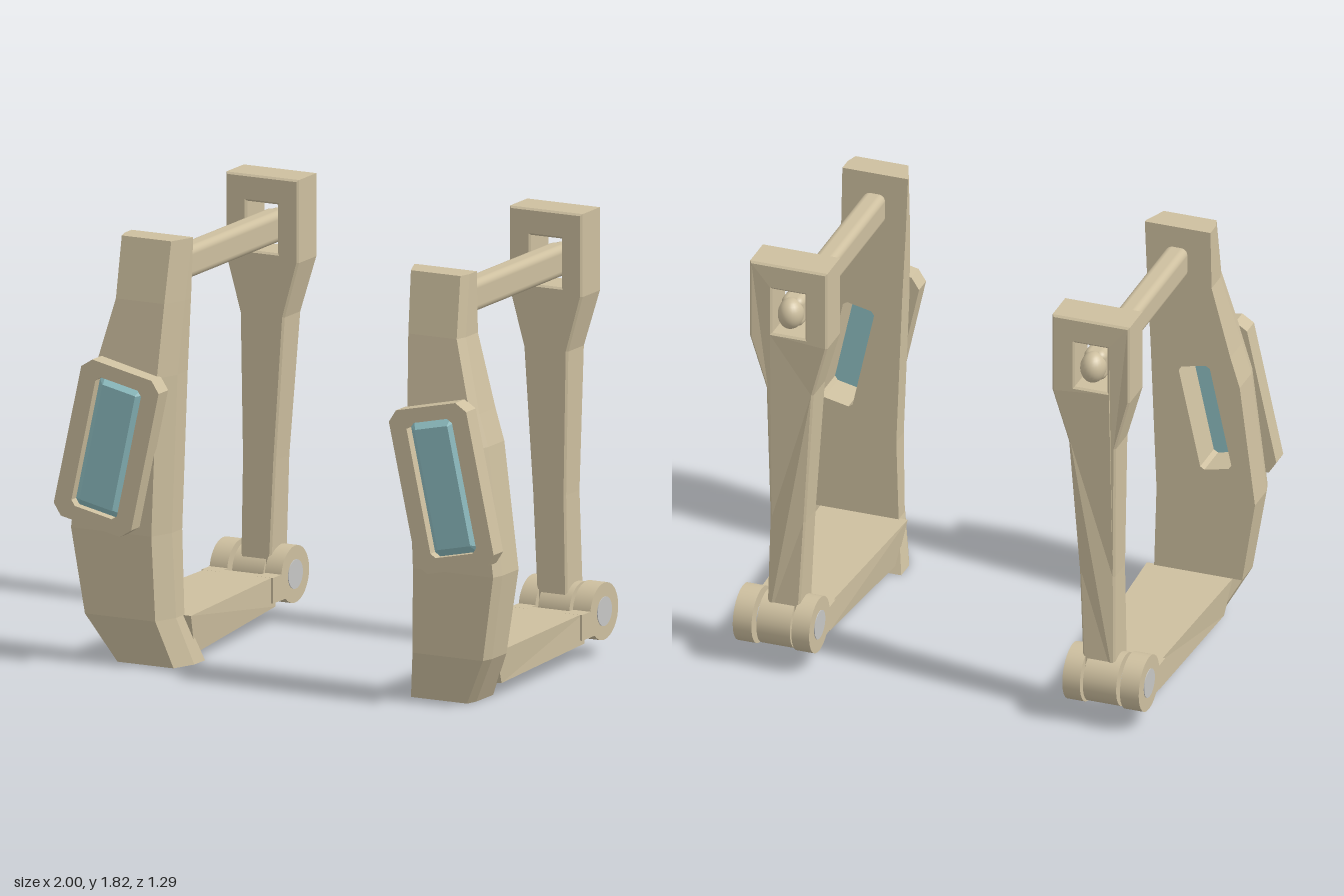
import * as THREE from 'three';
import { mergeVertices, mergeGeometries } from 'three/addons/utils/BufferGeometryUtils.js';
import { RoundedBoxGeometry } from 'three/addons/geometries/RoundedBoxGeometry.js';

// Skin stacked rings of [x, y, z]; sides listed in skip are left open
function loft(rings, { skip = [], bottom = true, top = true } = {}) {
  const pos = [], n = rings[0].length;
  const tri = (a, b, c) => pos.push(...a, ...b, ...c);
  for (let i = 0; i + 1 < rings.length; i++) {
    for (let j = 0; j < n; j++) {
      if (skip.includes(j)) continue;
      const k = (j + 1) % n, [lo, hi] = [rings[i], rings[i + 1]];
      tri(lo[j], lo[k], hi[k]);
      tri(lo[j], hi[k], hi[j]);
    }
  }
  const first = rings[0], last = rings[rings.length - 1];
  for (let j = 1; j < n - 1; j++) {
    if (bottom) tri(first[0], first[j + 1], first[j]);
    if (top) tri(last[0], last[j], last[j + 1]);
  }
  const g = new THREE.BufferGeometry();
  g.setAttribute('position', new THREE.Float32BufferAttribute(pos, 3));
  g.computeVertexNormals();
  return g;
}

const polygon = (pts) => pts.map(([x, y]) => new THREE.Vector2(x, y));

// Rectangle with cut corners, tilted like the display panel
const CENTRE = [0.762, 0.908], TILT = 0.215;
function panelOutline(w, h, cut) {
  const c = Math.cos(TILT), s = Math.sin(TILT);
  return polygon([
    [w - cut, -h], [w, -h + cut], [w, h - cut], [w - cut, h],
    [-w + cut, h], [-w, h - cut], [-w, -h + cut], [-w + cut, -h],
  ].map(([x, y]) => [CENTRE[0] + x * c - y * s, CENTRE[1] + x * s + y * c]));
}

function withHole(outline, hole) {
  const shape = new THREE.Shape(outline);
  if (hole) shape.holes.push(new THREE.Path(hole));
  return shape;
}

function extrude(shape, z0, z1, bevel = 0) {
  const g = new THREE.ExtrudeGeometry(shape, {
    depth: z1 - z0 - 2 * bevel, bevelEnabled: bevel > 0, bevelSegments: 1,
    bevelSize: bevel, bevelOffset: -bevel, bevelThickness: bevel,
  });
  return g.translate(0, 0, z0 + bevel);
}

// Front upright: [y, inner x, outer x, back z, front z]
const UPRIGHT = [
  [0, 0.5, 0.81, 0.3, 0.49], [0.2, 0.545, 0.92, 0.39, 0.56],
  [0.55, 0.555, 0.975, 0.39, 0.575], [1.07, 0.535, 0.91, 0.39, 0.575],
  [1.2, 0.53, 0.87, 0.39, 0.575], [1.5, 0.515, 0.79, 0.39, 0.54],
  [1.75, 0.505, 0.785, 0.39, 0.5],
];
function uprightGeometry() {
  const rings = UPRIGHT.map(([y, xi, xo, zb, zf]) => [
    [xi + 0.04, y, zf], [xo - 0.015, y, zf], [xo, y, zf - 0.05],
    [xo, y, zb], [xi, y, zb], [xi, y, zf - 0.1],
  ]);
  const slot = panelOutline(0.068, 0.23, 0.015);
  const mid = rings.slice(2, 5);
  // Slotted faces of the middle section, bounded by two of the ring corners
  const face = (inner, outer, z) => new THREE.ShapeGeometry(withHole(polygon([
    ...mid.map((r) => r[outer]), ...mid.map((r) => r[inner]).reverse(),
  ]), slot)).translate(0, 0, z);
  const back = flip(face(4, 3, 0.39));
  back.attributes.normal.array.forEach((v, i, a) => { a[i] = -v; });
  const slotWalls = loft([0.39, 0.575].map((z) => slot.map((p) => [p.x, p.y, z])).reverse(),
    { bottom: false, top: false });
  const parts = [
    loft(rings.slice(0, 3), { top: false }),
    loft(mid, { skip: [0, 3], bottom: false, top: false }),
    loft(rings.slice(4), { bottom: false }),
    face(0, 1, 0.575), back, slotWalls,
  ];
  return mergeGeometries(parts.map((g) => {
    const p = g.index ? g.toNonIndexed() : g;
    p.deleteAttribute('uv');
    return p;
  }));
}

// Reverse the winding of every triangle
function flip(geometry) {
  const g = geometry.index ? geometry : mergeVertices(geometry);
  const a = g.index.array;
  for (let i = 0; i < a.length; i += 3) [a[i + 1], a[i + 2]] = [a[i + 2], a[i + 1]];
  return g;
}

// Rear strut: wide head with a window, narrowing to the hinge
function strutGeometry() {
  const half = [[0.2, 0.068, 0.675], [0.66, 0.075, 0.66], [1.25, 0.1, 0.645],
    [1.48, 0.165, 0.645], [1.82, 0.165, 0.645]];
  const outline = polygon([
    ...half.map(([y, w, c]) => [c + w, y]),
    ...half.map(([y, w, c]) => [c - w, y]).reverse(),
  ]);
  const hole = polygon([[0.575, 1.51], [0.715, 1.51], [0.715, 1.71], [0.575, 1.71]]);
  const g = extrude(withHole(outline, hole), -0.6, -0.44, 0.008);
  const p = g.attributes.position;
  for (let i = 0; i < p.count; i++) {
    const y = p.getY(i);
    if (p.getZ(i) > -0.55 || y > 1.4) continue;
    p.setZ(i, p.getZ(i) + (y > 1 ? 0.015 : y > 0.5 ? 0.033 : 0.018));
  }
  g.computeVertexNormals();
  return g;
}

// Cylinder along x between two stations, on the hinge axis
function hinge(r, x0, x1) {
  return new THREE.CylinderGeometry(r, r, x1 - x0, 32)
    .rotateZ(Math.PI / 2).translate((x0 + x1) / 2, 0.185, -0.525);
}

function box(x0, x1, y0, y1, z0, z1) {
  return new THREE.BoxGeometry(x1 - x0, y1 - y0, z1 - z0)
    .translate((x0 + x1) / 2, (y0 + y1) / 2, (z0 + z1) / 2);
}

export function createModel() {
  const material = (name, color) => {
    const m = new THREE.MeshStandardMaterial({ color });
    m.name = name;
    return m;
  };
  const tan = material('tan shell', 0xcdbf9f);
  const glass = material('teal glass', 0x8fbfc3);
  const steel = material('light grey steel', 0xc6c6c4);

  const parts = [
    ['frontUpright', uprightGeometry(), tan],
    ['panelFrame', extrude(withHole(panelOutline(0.18, 0.335, 0.042),
      panelOutline(0.106, 0.276, 0.02)), 0.565, 0.645), tan],
    ['panelGlass', extrude(withHole(panelOutline(0.106, 0.276, 0.02)), 0.545, 0.636, 0.03), glass],
    ['lowerArm', loft([
      [[0.53, 0.03, 0.33], [0.865, 0.06, 0.33], [0.855, 0.08, -0.38], [0.55, 0.08, -0.38]],
      [[0.51, 0.2, 0.4], [0.88, 0.2, 0.4], [0.855, 0.205, -0.38], [0.55, 0.205, -0.38]],
    ]), tan],
    ['rearStrut', strutGeometry(), tan],
    ['strutHub', hinge(0.11, 0.625, 0.767), tan],
    ['hingePin', hinge(0.06, 0.537, 0.869), steel],
    ['upperRod', new RoundedBoxGeometry(0.095, 0.13, 0.97, 3, 0.03).translate(0.645, 1.6, -0.085), tan],
    ['rodEnd', new THREE.SphereGeometry(1, 24, 16).scale(0.052, 0.065, 0.06)
      .translate(0.645, 1.6, -0.568), tan],
  ];
  // Hinge lugs either side of the hub
  for (const [name, x0, x1] of [['innerLug', 0.54, 0.615], ['outerLug', 0.786, 0.866]]) {
    parts.push([name, hinge(0.117, x0, x1), tan]);
    parts.push([name + 'Arm', box(x0, x1, 0.1, 0.205, -0.5, -0.34), tan]);
  }

  const model = new THREE.Group();
  model.name = 'pairedBrackets';
  for (const side of ['left', 'right']) {
    const bracket = new THREE.Group();
    bracket.name = side + 'Bracket';
    for (const [name, geometry, mat] of parts) {
      const g = side === 'left' ? geometry : flip(geometry.clone().scale(-1, 1, 1));
      const mesh = new THREE.Mesh(g, mat);
      mesh.name = name;
      bracket.add(mesh);
    }
    model.add(bracket);
  }
  return model;
}
